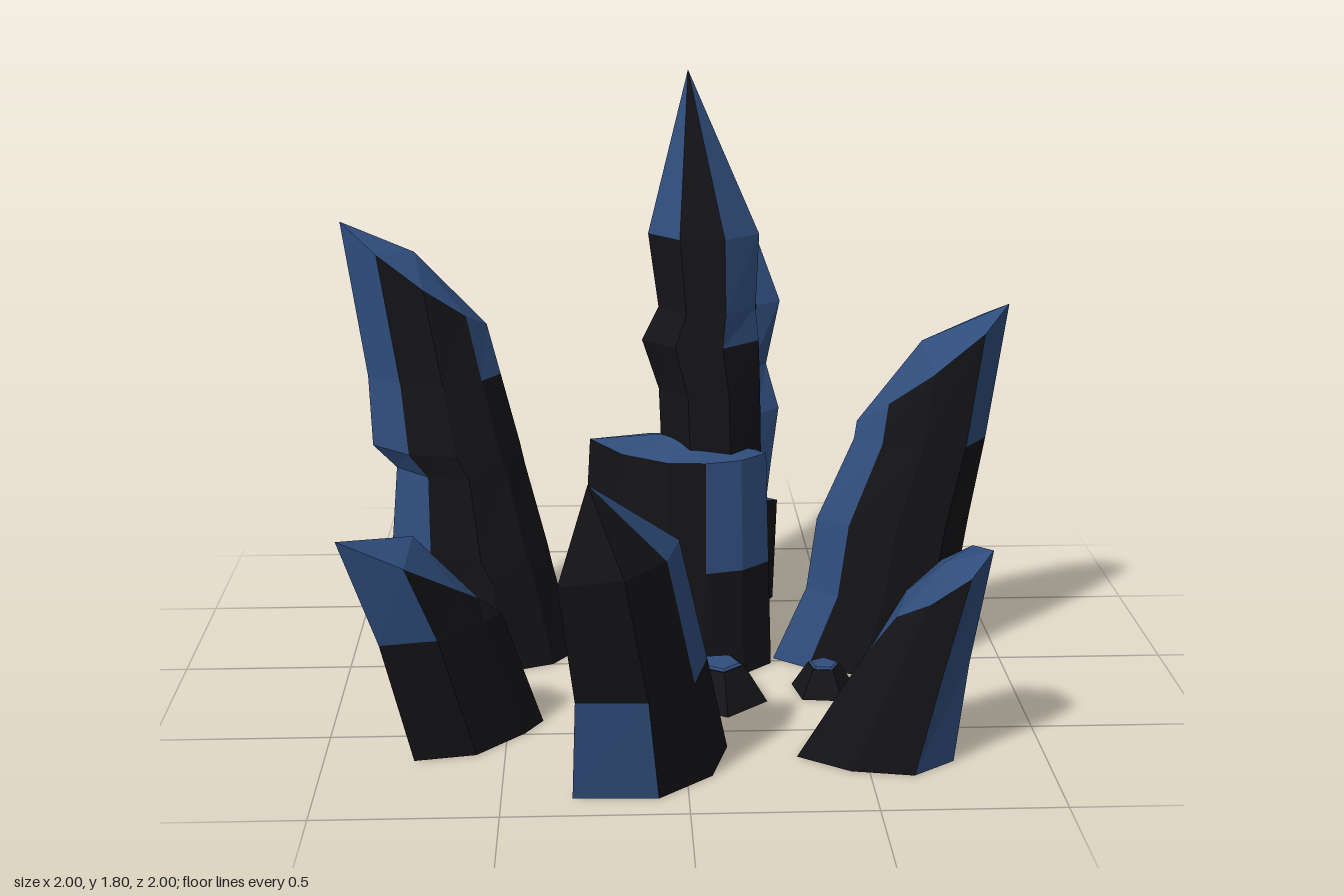
import * as THREE from 'three';

const materials = {
  d: new THREE.MeshStandardMaterial({ color: 0x141418, flatShading: true }),
  b: new THREE.MeshStandardMaterial({ color: 0x2f4d7c, flatShading: true }),
};

// Rescale an outline of [x, z] corners so that it fills -1..1 both ways.
function normalise(outline) {
  const fit = (k) => {
    const v = outline.map((p) => p[k]);
    const lo = Math.min(...v), hi = Math.max(...v);
    return v.map((a) => (2 * (a - lo)) / (hi - lo) - 1);
  };
  const xs = fit(0), zs = fit(1);
  return xs.map((x, i) => [x, zs[i]]);
}

// A faceted crystal lofted through levels and closed by a fan to the apex.
// level: [faces, y, xMin, xMax, zMin, zMax, slopeX, slopeZ]; "faces" colours
// the band above the level, one letter per side (d = dark, b = blue).
function crystal(name, outline, levels, apex) {
  const unit = normalise(outline);
  const n = unit.length;
  const rings = levels.map(([, y, x0, x1, z0, z1, sx = 0, sz = 0]) =>
    unit.map(([u, v]) => {
      const dx = (u * (x1 - x0)) / 2, dz = (v * (z1 - z0)) / 2;
      return [(x0 + x1) / 2 + dx, y + sx * dx + sz * dz, (z0 + z1) / 2 + dz];
    }));
  const tris = { d: [], b: [] };
  const base = levels[0];
  const foot = [(base[2] + base[3]) / 2, base[1], (base[4] + base[5]) / 2];
  for (let i = 0; i < n; i++) {
    const j = (i + 1) % n;
    tris.d.push(...rings[0][i], ...rings[0][j], ...foot);
    rings.forEach((low, k) => {
      const out = tris[levels[k][0][i]];
      const high = rings[k + 1];
      if (high) out.push(...low[i], ...high[i], ...low[j], ...low[j], ...high[i], ...high[j]);
      else out.push(...low[i], ...apex, ...low[j]);
    });
  }
  const group = new THREE.Group();
  group.name = name;
  for (const [key, label] of [['d', 'darkFacets'], ['b', 'blueFacets']]) {
    if (!tris[key].length) continue;
    const geo = new THREE.BufferGeometry();
    geo.setAttribute('position', new THREE.Float32BufferAttribute(tris[key], 3));
    geo.computeVertexNormals();
    const mesh = new THREE.Mesh(geo, materials[key]);
    mesh.name = label;
    group.add(mesh);
  }
  return group;
}

// A small five-sided stone with a blue top.
function pebble(name, x, z, r, height, turn) {
  const group = new THREE.Group();
  group.name = name;
  const body = new THREE.Mesh(new THREE.CylinderGeometry(r * 0.5, r, height, 5), materials.d);
  body.name = 'stone';
  const top = new THREE.Mesh(new THREE.CylinderGeometry(r * 0.4, r * 0.52, 0.012, 5), materials.b);
  top.name = 'stoneTop';
  top.position.y = height / 2;
  group.add(body, top);
  group.position.set(x, height / 2, z);
  group.rotation.y = turn;
  return group;
}

const HEX = [[1, 0.1], [0.35, 1], [-0.45, 0.9], [-1, -0.1], [-0.4, -1], [0.5, -0.9]];

export function createModel() {
  const model = new THREE.Group();
  model.name = 'crystalCluster';

  // Central block with a stepped spire
  const blockPlan = [[0.29, 0.02], [0.2, 0.1], [0.08, 0.13], [-0.05, 0.12],
    [-0.2, 0.02], [-0.31, -0.16], [-0.1, -0.22], [0.1, -0.21]];
  model.add(crystal('centreBlock', blockPlan, [
    ['ddddddbd', 0, -0.31, 0.29, -0.23, 0.13],
    ['bbdddddd', 0.33, -0.28, 0.28, -0.22, 0.11],
    ['bbbbbbbb', 0.67, -0.26, 0.27, -0.23, 0.09],
  ], [0.03, 0.72, -0.07]));
  model.add(crystal('centreSpire', HEX, [
    ['dddbdd', 0.6, -0.04, 0.26, -0.2, 0.04],
    ['dddbbd', 0.85, -0.05, 0.255, -0.2, 0.02],
    ['bddbbd', 1.0, -0.1, 0.25, -0.21, 0.01],
    ['bddbdd', 1.1, -0.05, 0.24, -0.21, 0],
    ['bdbbbb', 1.32, -0.08, 0.25, -0.23, -0.02],
  ], [0.04, 1.8, -0.18]));

  // Tall crystal on the -x side, leaning outwards with a chisel top
  model.add(crystal('tallSideCrystal', [[-0.31, -0.1], [-0.38, 0], [-0.53, 0.06],
    [-0.7, 0.03], [-0.84, -0.08], [-0.62, -0.17], [-0.42, -0.18]], [
    ['dddbbdd', 0, -0.84, -0.31, -0.18, 0.06],
    ['dddbbdd', 0.28, -0.81, -0.38, -0.2, 0.035],
    ['dddbddd', 0.35, -0.87, -0.395, -0.2, 0.03],
    ['dddbbdd', 0.6, -0.85, -0.46, -0.225, 0],
    ['dddbddd', 0.67, -0.92, -0.475, -0.23, 0],
    ['bddbbdd', 0.88, -0.93, -0.53, -0.25, -0.04],
    ['bbbbbbb', 1.19, -1, -0.57, -0.27, -0.08, -0.75],
  ], [-0.78, 1.26, -0.18]));

  // Crystal on the +x side
  model.add(crystal('sideCrystal', [[0.82, -0.02], [0.72, 0.1], [0.55, 0.12],
    [0.4, 0.06], [0.3, -0.02], [0.42, -0.1], [0.62, -0.14], [0.75, -0.12]], [
    ['dddbbddd', 0, 0.3, 0.82, -0.14, 0.12],
    ['dddbbddd', 0.23, 0.4, 0.86, -0.14, 0.11],
    ['dddbbddd', 0.45, 0.43, 0.895, -0.15, 0.09],
    ['bddbbddd', 0.7, 0.54, 0.94, -0.16, 0.07],
    ['bbbbbbbb', 0.93, 0.55, 1, -0.17, 0.04, 0.8],
  ], [0.74, 1.0, -0.07]));

  // Short crystal in front
  model.add(crystal('frontCrystal', [[0.12, 0.6], [0.07, 0.78], [-0.08, 0.91],
    [-0.31, 0.9], [-0.2, 0.68], [-0.05, 0.58]], [
    ['ddbddd', 0, -0.31, 0.12, 0.58, 0.91],
    ['bdddbd', 0.29, -0.3, 0.06, 0.63, 0.945],
    ['bddbbb', 0.65, -0.34, -0.02, 0.72, 1, 0.1],
  ], [-0.26, 0.89, 0.94]));

  // Short crystals at the two front corners
  model.add(crystal('frontCornerCrystal', [[-0.4, 0.42], [-0.45, 0.5], [-0.58, 0.63],
    [-0.75, 0.66], [-0.7, 0.52], [-0.55, 0.4]], [
    ['dddbbb', 0, -0.75, -0.4, 0.39, 0.66],
    ['ddbdbb', 0.36, -0.83, -0.51, 0.45, 0.7],
    ['bbbbbb', 0.54, -0.93, -0.57, 0.48, 0.74, -0.45, 0.4],
  ], [-0.74, 0.63, 0.58]));
  model.add(crystal('otherCornerCrystal', [[0.74, 0.72], [0.62, 0.8], [0.45, 0.77],
    [0.31, 0.68], [0.38, 0.55], [0.55, 0.52], [0.68, 0.58]], [
    ['bddbbbd', 0, 0.31, 0.74, 0.5, 0.8],
    ['bddbbbb', 0.3, 0.48, 0.77, 0.56, 0.8],
    ['bbbbbbb', 0.53, 0.57, 0.82, 0.58, 0.82, 0.8],
  ], [0.7, 0.58, 0.7]));

  // Low block at the back and the shard leaning out of it
  model.add(crystal('backBlock', [[0.36, -0.55], [0.3, -0.45], [0.2, -0.38],
    [0.08, -0.375], [-0.12, -0.43], [-0.07, -0.57], [0.02, -0.7], [0.3, -0.68]], [
    ['ddddbbdd', 0, -0.12, 0.34, -0.67, -0.38],
    ['bbbbbbbb', 0.31, -0.07, 0.36, -0.75, -0.51, 0, 0.3],
  ], [0.17, 0.36, -0.62]));
  model.add(crystal('backShard', HEX, [
    ['bdbbdd', 0.22, 0.05, 0.31, -0.71, -0.51],
    ['bdbbdb', 0.42, 0.1, 0.34, -0.78, -0.59],
    ['bdbbdb', 0.6, 0.13, 0.37, -0.84, -0.66],
    ['bdbbdd', 0.74, 0.15, 0.33, -0.89, -0.71],
    ['bdbbdb', 0.94, 0.12, 0.38, -0.96, -0.79],
  ], [0.25, 1.29, -1]));

  // Loose stones
  [[-0.72, -0.37, 0.12, 0.09, 0.2], [-0.17, 0.23, 0.12, 0.09, 2.5],
    [0.12, 0.27, 0.14, 0.11, 0.1], [0.43, 0.22, 0.1, 0.08, 0.5],
  ].forEach((p, i) => model.add(pebble('pebble' + (i + 1), ...p)));

  return model;
}
